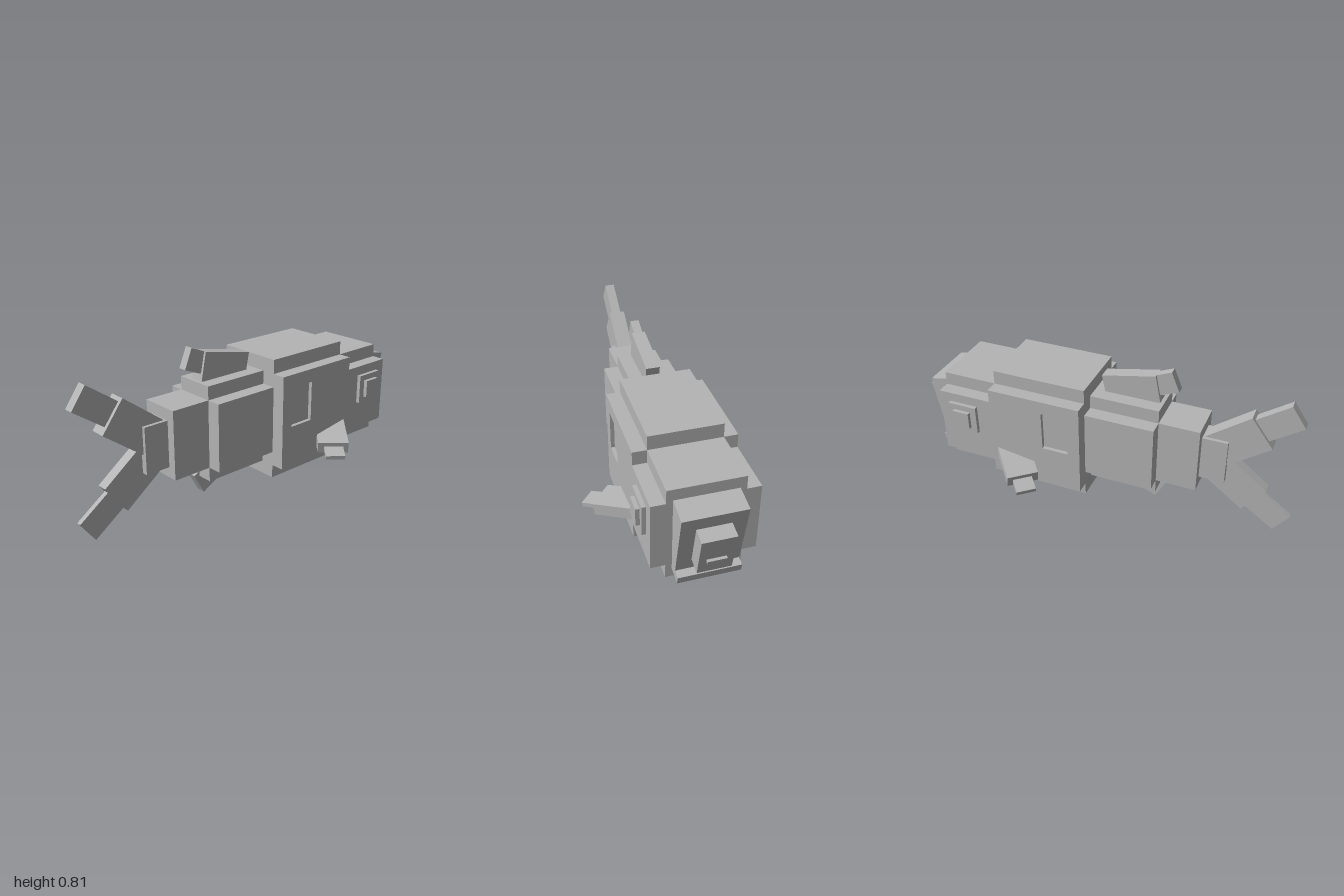
import * as THREE from 'three';

export function createModel() {
  const model = new THREE.Group();
  model.name = 'blockFish';
  const grey = new THREE.MeshStandardMaterial({ color: 0xb4b4b4 });
  grey.name = 'stone grey';

  const add = (name, geometry, parent = model) => {
    const mesh = new THREE.Mesh(geometry, grey);
    mesh.name = name;
    parent.add(mesh);
    return mesh;
  };

  // Upright block given by its limits, centred on x = 0
  const block = (name, halfX, y0, y1, z0, z1) => {
    const mesh = add(name, new THREE.BoxGeometry(2 * halfX, y1 - y0, z1 - z0));
    mesh.position.set(0, (y0 + y1) / 2, (z0 + z1) / 2);
    return mesh;
  };

  // Tilted block: [z, y] corners of its end face, and how far it runs back from that face
  const tilted = (name, halfX, top, bottom, length) => {
    const dz = top[0] - bottom[0], dy = top[1] - bottom[1];
    const a = Math.atan2(dz, dy);
    const mesh = add(name, new THREE.BoxGeometry(2 * halfX, Math.hypot(dz, dy), Math.abs(length)));
    mesh.rotation.x = a;
    mesh.position.set(0,
      (top[1] + bottom[1]) / 2 + Math.sin(a) * length / 2,
      (top[0] + bottom[0]) / 2 - Math.cos(a) * length / 2);
    return mesh;
  };

  // Body, from head to tail
  block('headSides', 0.25, 0.205, 0.56, -0.825, -0.535);
  block('headCore', 0.18, 0.13, 0.63, -0.825, -0.535);
  block('chestSides', 0.23, 0.13, 0.63, -0.535, -0.04);
  block('chestCore', 0.18, 0.06, 0.703, -0.535, -0.04);
  block('rearSides', 0.18, 0.205, 0.56, -0.04, 0.32);
  block('rearCore', 0.105, 0.13, 0.63, -0.04, 0.32);
  block('tailStem', 0.105, 0.205, 0.56, 0.32, 0.53);
  block('tailJoint', 0.06, 0.26, 0.50, 0.53, 0.66);

  // Chest side plates with a sunken gill opening
  const rect = (Type, z0, z1, y0, y1) => new Type([
    new THREE.Vector2(z0, y0), new THREE.Vector2(z1, y0),
    new THREE.Vector2(z1, y1), new THREE.Vector2(z0, y1)]);
  const plate = rect(THREE.Shape, -0.535, -0.04, 0.13, 0.63);
  plate.holes.push(rect(THREE.Path, -0.245, -0.105, 0.35, 0.56));
  const plateGeometry = new THREE.ExtrudeGeometry(plate, { depth: 0.02, bevelEnabled: false });
  plateGeometry.rotateY(-Math.PI / 2);

  for (const s of [1, -1]) {
    const side = s > 0 ? 'left' : 'right';
    add(side + 'GillPlate', plateGeometry).position.x = s > 0 ? 0.25 : -0.23;

    // Stepped eye
    add(side + 'EyeSocket', new THREE.BoxGeometry(0.04, 0.155, 0.155)).position.set(s * 0.25, 0.433, -0.688);
    add(side + 'Eye', new THREE.BoxGeometry(0.06, 0.093, 0.09)).position.set(s * 0.26, 0.433, -0.69);

    // Side fin: swept back and drooping, each piece placed by the centre of its outer end
    const fin = new THREE.Group();
    fin.name = side + 'SideFin';
    model.add(fin);
    const pieces = [
      ['SideFinRoot', 0.26, 0.062, 0.16, 0.3525, 0.204, -0.315],
      ['SideFinTip', 0.13, 0.022, 0.10, 0.415, 0.183, -0.264],
    ];
    for (const [name, length, height, width, x, y, z] of pieces) {
      const geometry = new THREE.BoxGeometry(length, height, width).translate(-s * length / 2, 0, 0);
      const mesh = add(side + name, geometry, fin);
      mesh.position.set(s * x, y, z);
      mesh.rotation.set(0, -s * 0.715, -s * 0.225, 'YXZ');
    }
  }

  // Face
  tilted('snout', 0.15, [-0.94, 0.55], [-0.873, 0.21], -0.16);
  tilted('muzzle', 0.08, [-0.997, 0.467], [-0.955, 0.257], -0.08);
  tilted('mouth', 0.045, [-0.986, 0.342], [-0.983, 0.326], -0.04);
  tilted('lowerJaw', 0.15, [-0.911, 0.20], [-0.904, 0.162], -0.13);

  // Fins along the middle
  tilted('backFin', 0.035, [0.273, 0.775], [0.302, 0.633], 0.284);
  tilted('backFinTip', 0.022, [0.348, 0.807], [0.39, 0.706], 0.10);
  tilted('bellyFin', 0.025, [0.354, 0.14], [0.295, 0.032], 0.28);

  // Forked tail
  tilted('upperTailFin', 0.042, [0.755, 0.663], [0.868, 0.513], 0.30);
  tilted('upperTailTip', 0.025, [0.925, 0.76], [1.0, 0.655], 0.22);
  tilted('lowerTailFin', 0.028, [0.868, 0.245], [0.755, 0.095], 0.30);
  tilted('lowerTailTip', 0.013, [1.0, 0.106], [0.925, 0.0], 0.22);

  return model;
}
